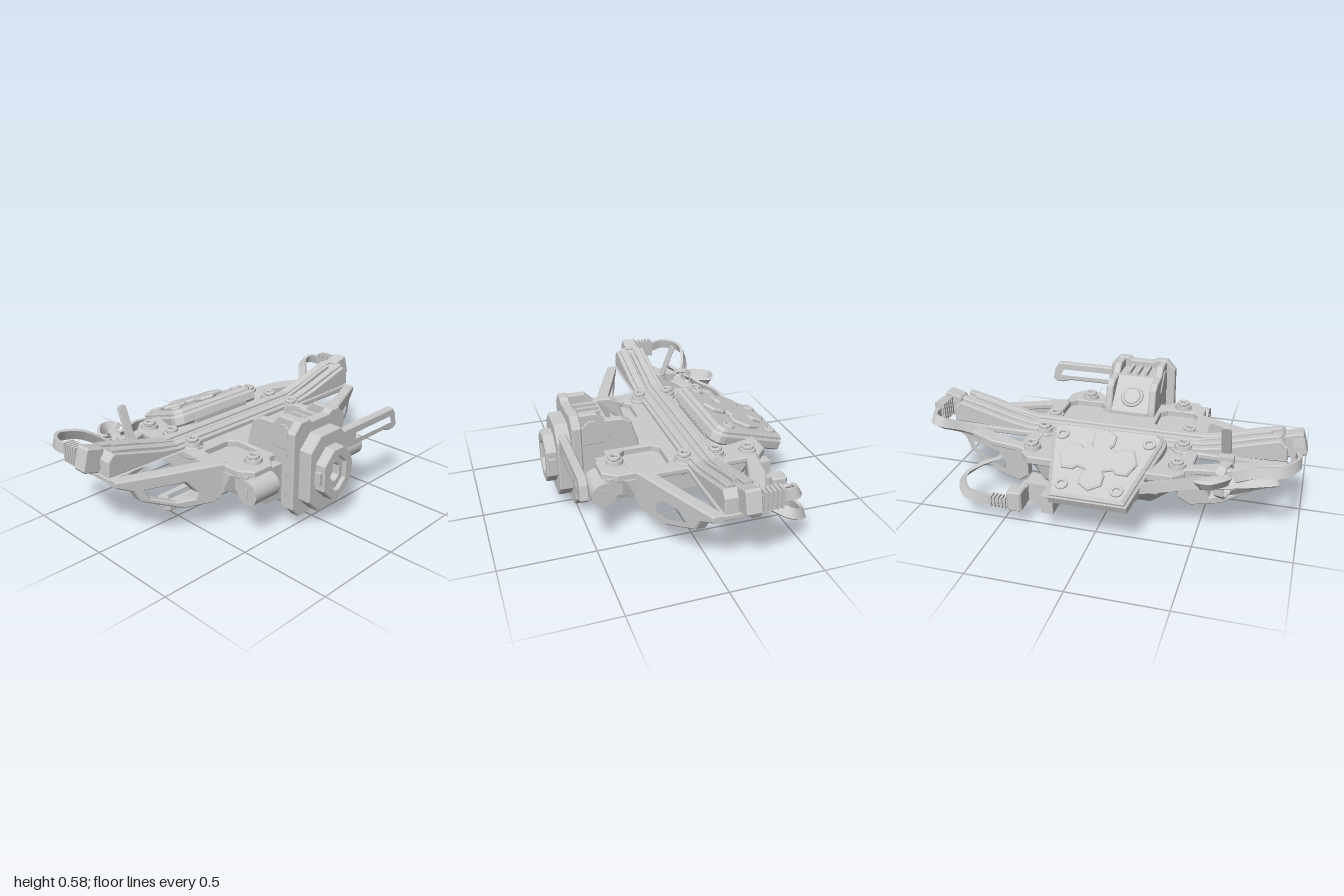
import * as THREE from 'three';
import { toCreasedNormals } from 'three/addons/utils/BufferGeometryUtils.js';
import { ConvexGeometry } from 'three/addons/geometries/ConvexGeometry.js';

const grey = new THREE.MeshStandardMaterial({ color: 0xcccccc });
const V = (x, y, z) => new THREE.Vector3(x, y, z);

function add(parent, name, geometry) {
  const mesh = new THREE.Mesh(geometry, grey);
  mesh.name = name;
  parent.add(mesh);
  return mesh;
}
const box = (x0, x1, y0, y1, z0, z1) =>
  new THREE.BoxGeometry(Math.abs(x1 - x0), y1 - y0, z1 - z0).translate((x0 + x1) / 2, (y0 + y1) / 2, (z0 + z1) / 2);

const v2 = pts => pts.map(p => new THREE.Vector2(p[0], p[1]));
const flip = (pts, s) => pts.map(([x, y]) => [s * x, y]);
// closes a right-half outline into a symmetric one
const mirror = pts => [...pts, ...flip(pts, -1).reverse()];
const ngon = (n, r) => Array.from({ length: n }, (_, i) => {
  const a = i / n * Math.PI * 2;
  return [r * Math.cos(a), r * Math.sin(a)];
});
const octagon = (w, h, c, cx = 0, cy = 0) => mirror([[w - c, -h], [w, c - h], [w, h - c], [w - c, h]]).map(([x, y]) => [x + cx, y + cy]);

// bevelled plate facing z, between z0 and z1
function slabZ(pts, z0, z1, holes = [], b = 0.006) {
  const shape = new THREE.Shape(v2(pts));
  holes.forEach(h => shape.holes.push(new THREE.Path(v2(h))));
  return new THREE.ExtrudeGeometry(shape, {
    depth: z1 - z0 - 2 * b, bevelEnabled: true, bevelSize: b, bevelThickness: b, bevelOffset: -b, bevelSegments: 1,
  }).translate(0, 0, z0 + b);
}
// plate drawn in (x, z), between y0 and y1
const slabY = (pts, y0, y1, holes, b) => slabZ(pts, 0, y1 - y0, holes, b).rotateX(Math.PI / 2).translate(0, y1, 0);
// profile drawn in (z, y), centred on x
const slabX = (pts, half, b) => slabZ(pts, -half, half, [], b).rotateY(-Math.PI / 2);

function bolt(parent, x, y, z, r = 0.05) {
  const g = new THREE.Group();
  g.name = 'bolt';
  add(g, 'washer', new THREE.CylinderGeometry(r * 0.9, r, 0.025, 8).translate(0, 0.0125, 0));
  add(g, 'boltHead', slabY(ngon(20, r * 0.68), 0.025, 0.045, [ngon(6, r * 0.36)], 0.004));
  g.position.set(x, y, z);
  parent.add(g);
}

// flat cable along a smooth path; roll(t) tips the strap from upright to lying
function strap(points, width, thick, roll) {
  const curve = new THREE.CatmullRomCurve3(points.map(p => V(...p)));
  const n = points.length * 10, pos = [], idx = [], up = V(0, 1, 0);
  for (let i = 0; i <= n; i++) {
    const t = curve.getTangent(i / n), p = curve.getPoint(i / n);
    const side = t.clone().cross(up).normalize(), lift = side.clone().cross(t);
    const w = lift.multiplyScalar(Math.cos(roll(i / n))).addScaledVector(side, Math.sin(roll(i / n)));
    const d = t.clone().cross(w);
    for (const [a, b] of [[1, 1], [-1, 1], [-1, -1], [1, -1]])
      pos.push(...p.clone().addScaledVector(w, a * width / 2).addScaledVector(d, b * thick / 2).toArray());
    if (i) for (let k = 0; k < 4; k++) {
      const a = (i - 1) * 4 + k, b = (i - 1) * 4 + (k + 1) % 4;
      idx.push(a, b, b + 4, a, b + 4, a + 4);
    }
  }
  idx.push(0, 2, 1, 0, 3, 2, n * 4, n * 4 + 1, n * 4 + 2, n * 4, n * 4 + 2, n * 4 + 3);
  const g = new THREE.BufferGeometry();
  g.setAttribute('position', new THREE.Float32BufferAttribute(pos, 3));
  g.setIndex(idx);
  return toCreasedNormals(g, 0.7);
}

// octagonal quick-release mount with a slotted lever, facing +z
function makeMount(name) {
  const g = new THREE.Group();
  g.name = name;
  add(g, 'mountBase', slabZ(octagon(0.15, 0.21, 0.075), -0.01, 0.07));
  add(g, 'mountFace', slabZ(octagon(0.108, 0.138, 0.07), 0.06, 0.125, [octagon(0.06, 0.09, 0.045)]));
  add(g, 'mountCore', slabZ(octagon(0.065, 0.095, 0.045), 0.06, 0.105, [octagon(0.03, 0.045, 0.02)]));
  for (const s of [-1, 1]) add(g, 'mountTab', box(s * 0.09, s * 0.127, -0.035, 0.035, 0.08, 0.115));
  add(g, 'lever', slabZ(
    [[-0.02, 0.05], [-0.02, 0.17], [0.555, 0.17], [0.58, 0.135], [0.595, 0.065], [0.575, 0.045], [0.53, 0.045], [0.48, 0.06], [0.2, 0.06]],
    0.014, 0.058, [[[0.22, 0.085], [0.22, 0.135], [0.53, 0.135], [0.55, 0.085]]]));
  return g;
}

function makeWing(s) {
  const g = new THREE.Group();
  g.name = s > 0 ? 'leftWing' : 'rightWing';
  const frame = [[0.38, -0.38], [0.44, -0.375], [0.62, -0.345], [0.91, -0.2], [0.91, 0.055], [0.44, 0.25], [0.38, 0.25]];
  const gaps = [[[0.46, 0.01], [0.87, 0.01], [0.46, 0.18]], [[0.46, -0.2], [0.8, -0.2], [0.61, -0.285], [0.46, -0.31]]];
  add(g, 'wingFrame', slabY(flip(frame, s), 0.335, 0.367, gaps.map(h => flip(h, s))));
  // pierced walls that spread toward the body
  const wall = [[0.91, 0.365], [0.91, 0.335], [0.83, 0.3], [0.8, 0.24], [0.61, 0.16], [0.46, 0.16], [0.4, 0.21], [0.4, 0.365]];
  const hole = [[0.78, 0.3], [0.76, 0.25], [0.64, 0.2], [0.55, 0.2], [0.54, 0.235], [0.59, 0.3]];
  for (const [name, z, slope] of [['wingFrontWall', -0.005, 0.4255], ['wingBackWall', -0.2, -0.38]]) {
    const geo = slabZ(flip(wall, s), 0, 0.06, [flip(hole, s)]), p = geo.attributes.position;
    for (let i = 0; i < p.count; i++) p.setZ(i, p.getZ(i) + z + slope * (0.91 - Math.abs(p.getX(i))));
    geo.computeVertexNormals();
    add(g, name, geo);
  }
  // cable plug on the raised tip
  const cap = add(g, 'endPlug', slabZ(octagon(0.05, 0.062, 0.01), -0.04, 0.04));
  cap.position.set(s * 0.94, 0.45, -0.105);
  cap.rotation.z = s * 0.28;
  add(g, 'endPlugNeck', box(s * 0.935, s * 0.975, 0.415, 0.485, -0.26, -0.13));
  for (let i = 0; i < 5; i++) add(g, 'endPlugRib', box(s * 0.927, s * 0.983, 0.4, 0.5, -0.168 - i * 0.022, -0.155 - i * 0.022));
  return g;
}

export function createModel() {
  const model = new THREE.Group();
  model.name = 'mountingRig';

  // central body: tapered underside below a deck with two wells
  const ring = (pts, y) => pts.flatMap(([x, z]) => [V(x, y, z), V(-x, y, z)]);
  add(model, 'bodyUnderside', new ConvexGeometry([
    ...ring([[0.25, -0.34], [0.25, 0.41]], 0.13),
    ...ring([[0.42, -0.28], [0.3, -0.42], [0.42, 0.27], [0.3, 0.41]], 0.225),
    ...ring([[0.42, -0.35], [0.34, -0.44], [0.42, 0.32], [0.32, 0.41]], 0.325)]));
  const deck = mirror([[0.38, -0.45], [0.43, -0.4], [0.43, -0.3], [0.4, -0.24], [0.44, -0.19], [0.44, 0.02],
    [0.41, 0.08], [0.41, 0.36], [0.36, 0.43], [0.24, 0.43], [0.18, 0.36]]);
  add(model, 'deck', slabY(deck, 0.315, 0.36, [-1, 1].map(s => octagon(0.11, 0.11, 0.035, s * 0.275, 0.18))));
  for (const s of [-1, 1]) {
    bolt(model, s * 0.385, 0.355, -0.35);
    bolt(model, s * 0.38, 0.37, -0.17);
    bolt(model, s * 0.38, 0.37, 0);
    bolt(model, s * 0.28, 0.355, 0.34);
    add(model, 'boltLug', slabY(octagon(0.055, 0.135, 0.03, s * 0.38, -0.085), 0.35, 0.375));
    // front rollers
    const r = new THREE.CylinderGeometry(0.065, 0.065, 0.17, 28).rotateZ(Math.PI / 2);
    add(model, 'roller', r.translate(s * 0.335, 0.265, 0.43));
    add(model, 'rollerSlot', box(s * 0.418, s * 0.424, 0.235, 0.295, 0.422, 0.438));
    add(model, 'rollerBracket', box(s * 0.25, s * 0.4, 0.24, 0.335, 0.33, 0.41));
    model.add(makeWing(s));
  }

  // long crossbar with upturned ends and raised rails
  add(model, 'crossbar', slabZ(mirror([[0.5, 0.355], [0.91, 0.37], [0.905, 0.45], [0.87, 0.485], [0.76, 0.455], [0.58, 0.405], [0.47, 0.385]]), -0.18, 0));
  const rail = mirror([[0.47, 0.365], [0.58, 0.39], [0.76, 0.44], [0.87, 0.465], [0.87, 0.5], [0.76, 0.475], [0.58, 0.425], [0.47, 0.4]]);
  for (const [z0, z1] of [[-0.15, -0.108], [-0.062, -0.02]]) add(model, 'crossbarRail', slabZ(rail, z0, z1));
  add(model, 'crossbarInset', slabZ(rail.map(([x, y]) => [x * 0.94, y - 0.007]), -0.095, -0.075, [], 0.003));

  // front block: shield plate, two cheeks and the sloped hood between them
  add(model, 'shieldPlate', slabZ(mirror([[0.1, 0.065], [0.145, 0.065], [0.195, 0.12], [0.195, 0.53], [0.145, 0.585], [0.085, 0.585], [0.065, 0.57]]), 0.48, 0.53));
  add(model, 'shieldCore', slabX([[0.5, 0.07], [0.5, 0.5], [0.31, 0.45], [0.31, 0.35], [0.4, 0.14], [0.41, 0.07]], 0.145));
  for (const s of [-1, 1]) {
    const cheek = [[0.5, 0.35], [0.5, 0.58], [0.39, 0.58], [0.345, 0.535], [0.25, 0.53], [0.205, 0.505], [0.17, 0.39], [0.165, 0.34]];
    add(model, 'cheek', slabX(cheek, 0.02).translate(s * 0.125, 0, 0));
    add(model, 'cheekPanel', slabX([[0.47, 0.41], [0.47, 0.51], [0.43, 0.545], [0.4, 0.54], [0.325, 0.46], [0.325, 0.44], [0.36, 0.41]], 0.006, 0.003)
      .translate(s * 0.145, 0, 0));
  }
  add(model, 'hood', slabX([[0.49, 0.3], [0.49, 0.53], [0.33, 0.53], [0.16, 0.38], [0.16, 0.3]], 0.11));
  for (const x of [-0.05, 0, 0.05]) add(model, 'hoodVent', box(x - 0.008, x + 0.008, 0.52, 0.55, 0.345, 0.465));
  const button = new THREE.Group();
  button.name = 'hoodButton';
  add(button, 'buttonRing', new THREE.TorusGeometry(0.055, 0.01, 8, 28).rotateX(Math.PI / 2));
  add(button, 'buttonCap', new THREE.CylinderGeometry(0.045, 0.05, 0.02, 28));
  button.position.set(0, 0.445, 0.232);
  button.rotation.x = -0.72;
  model.add(button);

  // two identical mounts: one on the front, one underneath
  const front = makeMount('frontMount');
  front.position.set(0, 0.305, 0.53);
  const under = makeMount('underMount');
  under.quaternion.setFromRotationMatrix(new THREE.Matrix4().makeBasis(V(-1, 0, 0), V(0, 0, -1), V(0, -1, 0)));
  under.position.set(0, 0.125, 0.08);
  model.add(front, under);

  // tilted rear pod with a raised cross
  const pod = new THREE.Group();
  pod.name = 'rearPod';
  add(pod, 'podBase', slabY(mirror([[0.2, -0.24], [0.305, 0.17], [0.305, 0.2], [0.27, 0.24]]), -0.09, -0.025, [], 0.012));
  add(pod, 'podLid', slabY(mirror([[0.19, -0.238], [0.29, 0.165], [0.29, 0.19], [0.255, 0.222]]), -0.04, 0, [], 0.015));
  const quarter = [[0.06, -0.16], [0.06, -0.1], [0.045, -0.075], [0.09, -0.06], [0.11, -0.08], [0.17, -0.08], [0.205, 0]];
  const half = [[0, -0.2], ...quarter, ...quarter.slice(0, -1).reverse().map(([x, z]) => [x, -z]), [0, 0.2]];
  add(pod, 'podCross', slabY([...half, ...flip(half.slice(1, -1), -1).reverse()], -0.005, 0.02, [], 0.008));
  for (const s of [-1, 1]) {
    bolt(pod, s * 0.14, -0.033, -0.175, 0.05);
    bolt(pod, s * 0.23, -0.033, 0.14, 0.05);
  }
  pod.position.set(0, 0.385, -0.435);
  pod.rotation.x = -0.38;
  model.add(pod);
  add(model, 'podSupport', slabX([[-0.18, 0.2], [-0.18, 0.4], [-0.24, 0.39], [-0.56, 0.27], [-0.53, 0.22], [-0.42, 0.17]], 0.2));

  // rear plug with ribbed strain relief
  add(model, 'rearSocket', box(0.22, 0.4, 0.09, 0.2, -0.45, -0.34));
  add(model, 'rearSocketBlock', box(0.21, 0.275, 0.1, 0.2, -0.55, -0.4));
  add(model, 'rearPlug', slabY(octagon(0.04, 0.042, 0.01, 0.42, -0.52), 0.09, 0.2));
  add(model, 'rearPlugStem', box(0.38, 0.42, 0.1, 0.19, -0.49, -0.4));
  add(model, 'rearPlugNeck', box(0.45, 0.57, 0.1, 0.14, -0.545, -0.515));
  for (let i = 0; i < 5; i++) add(model, 'rearPlugRib', box(0.47 + i * 0.02, 0.481 + i * 0.02, 0.09, 0.15, -0.553, -0.507));

  // flat cables
  add(model, 'leftCable', strap([[0.955, 0.45, -0.25], [0.95, 0.45, -0.33], [0.9, 0.44, -0.35], [0.8, 0.38, -0.27], [0.7, 0.31, -0.21],
    [0.6, 0.27, -0.21], [0.6, 0.24, -0.27], [0.7, 0.21, -0.36], [0.75, 0.18, -0.44], [0.7, 0.14, -0.525], [0.56, 0.12, -0.53]],
  0.055, 0.018, t => -1.1 * Math.sin(Math.PI * t)));
  add(model, 'rightCable', strap([[-0.955, 0.45, -0.25], [-0.97, 0.46, -0.34], [-0.9, 0.45, -0.43], [-0.77, 0.42, -0.42], [-0.63, 0.31, -0.35],
    [-0.62, 0.22, -0.3], [-0.72, 0.26, -0.3], [-0.87, 0.34, -0.33], [-0.74, 0.34, -0.38], [-0.59, 0.34, -0.43], [-0.51, 0.36, -0.49],
    [-0.57, 0.37, -0.51], [-0.65, 0.36, -0.42], [-0.55, 0.34, -0.42], [-0.38, 0.33, -0.49], [-0.22, 0.3, -0.51]],
  0.055, 0.018, t => 0.7 * Math.sin(Math.PI * t)));
  // tie around the bundled cable, with its free tail
  const tie = add(model, 'cableTie', slabZ(octagon(0.06, 0.09, 0.03), -0.025, 0.025, [octagon(0.048, 0.078, 0.025)], 0.003));
  tie.position.set(-0.62, 0.32, -0.35);
  tie.rotation.y = Math.PI / 2 - 0.3;
  add(model, 'tieLock', box(-0.655, -0.58, 0.36, 0.41, -0.285, -0.24));
  const tail = add(model, 'tieTail', slabZ(octagon(0.025, 0.1, 0.012), -0.007, 0.007, [], 0.003));
  tail.position.set(-0.61, 0.485, -0.25);
  tail.rotation.x = -0.38;
  return model;
}
